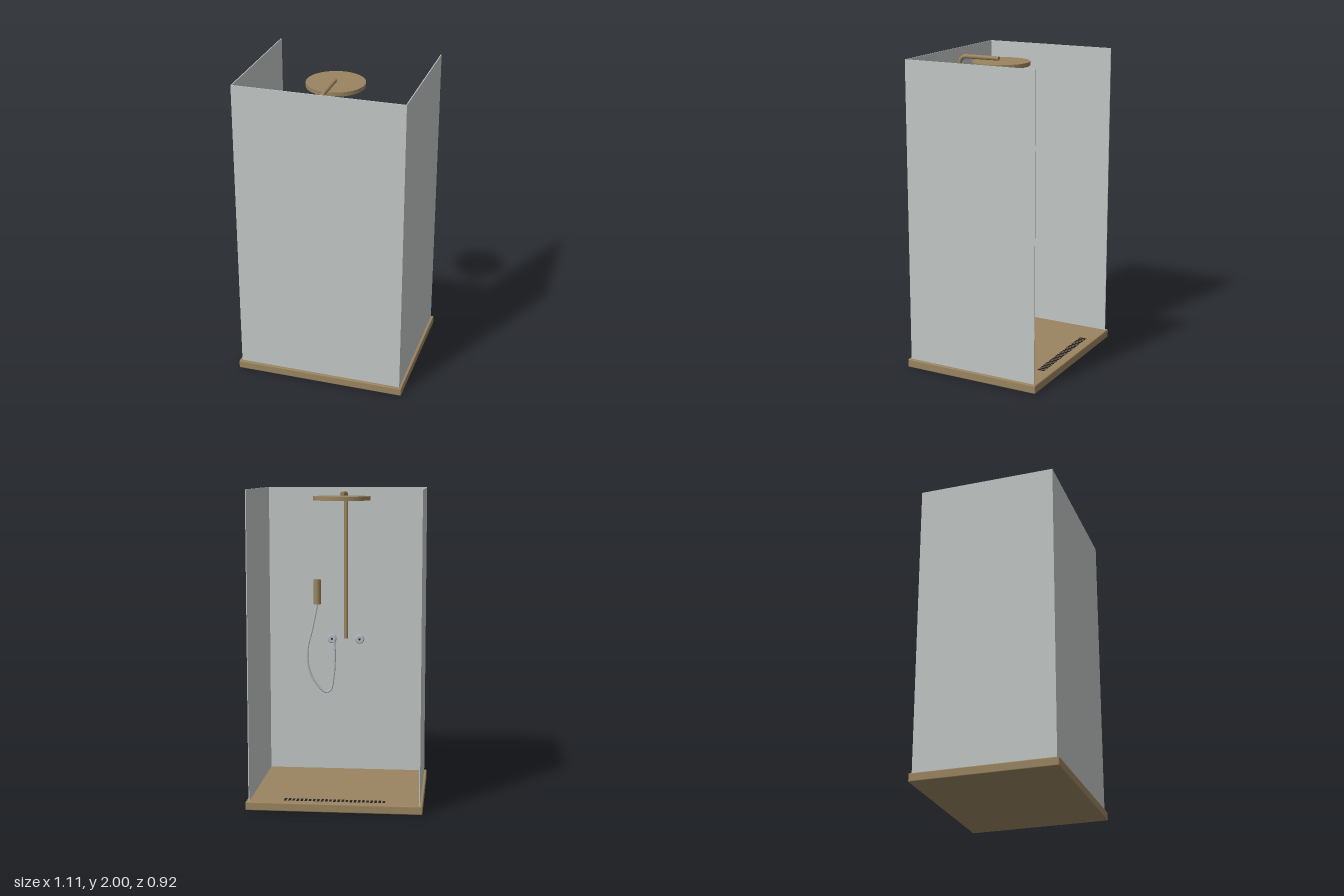
import * as THREE from 'three';
import { RoundedBoxGeometry } from 'three/addons/geometries/RoundedBoxGeometry.js';

const makeMaterial = (name, color) => {
  const m = new THREE.MeshStandardMaterial({ color });
  m.name = name;
  return m;
};

export function createModel() {
  const bronze = makeMaterial('brushed bronze', 0x9a8460);
  const glass = makeMaterial('frosted glass', 0xc1c6c4);
  const chrome = makeMaterial('chrome', 0xb4b9be);
  const dark = makeMaterial('dark openings', 0x222222);

  const model = new THREE.Group();
  model.name = 'showerCubicle';
  const add = (name, geometry, material, x = 0, y = 0, z = 0, parent = model) => {
    const mesh = new THREE.Mesh(geometry, material);
    mesh.name = name;
    mesh.position.set(x, y, z);
    parent.add(mesh);
    return mesh;
  };
  const addGroup = (name, x = 0, y = 0, z = 0) => {
    const g = new THREE.Group();
    g.name = name;
    g.position.set(x, y, z);
    model.add(g);
    return g;
  };

  // Tray with softened edges
  const trayTop = 0.055;
  add('tray', new RoundedBoxGeometry(1.11, trayTop, 0.924, 3, 0.007), bronze, 0, trayTop / 2, 0);

  // Drain: a row of dark slots near the open side
  const drain = addGroup('drain', 0, trayTop, -0.382);
  const slot = new THREE.BoxGeometry(0.015, 0.004, 0.047);
  for (let i = -12; i <= 12; i++) add('drainSlot', slot, dark, i * 0.0259, 0, 0, drain);

  // Three glass panels, open at the back
  const t = 0.006, panelHeight = 2 - trayTop, panelY = trayTop + panelHeight / 2;
  add('frontPanel', new THREE.BoxGeometry(1.076, panelHeight, t), glass, 0, panelY, 0.442);
  for (const side of [-1, 1]) {
    add(side > 0 ? 'leftPanel' : 'rightPanel', new THREE.BoxGeometry(t, panelHeight, 0.886),
      glass, side * 0.535, panelY, -0.004);
  }

  // Riser pipe bending over into the overhead arm
  const armY = 1.962, riserZ = 0.377, bend = 0.05;
  const pipe = new THREE.CurvePath();
  const p = (y, z) => new THREE.Vector3(0, y, z);
  pipe.add(new THREE.LineCurve3(p(0.98, riserZ), p(armY - bend, riserZ)));
  pipe.add(new THREE.CubicBezierCurve3(p(armY - bend, riserZ), p(armY - bend * 0.45, riserZ),
    p(armY, riserZ - bend * 0.45), p(armY, riserZ - bend)));
  pipe.add(new THREE.LineCurve3(p(armY, riserZ - bend), p(armY, 0.09)));
  add('riserAndArm', new THREE.TubeGeometry(pipe, 120, 0.0134, 16), bronze);
  const cap = new THREE.CircleGeometry(0.0134, 16);
  add('armCap', cap, bronze, 0, armY, 0.09).rotation.y = Math.PI;
  add('riserCap', cap, bronze, 0, 0.98, riserZ).rotation.x = Math.PI / 2;

  // Round overhead shower with rings of nozzles underneath
  const head = addGroup('overheadShower', 0, 1.935, 0.073);
  add('showerPlate', new THREE.CylinderGeometry(0.184, 0.184, 0.026, 64), bronze, 0, 0, 0, head);
  const nozzle = new THREE.CylinderGeometry(0.005, 0.005, 0.004, 8);
  add('nozzle', nozzle, dark, 0, -0.013, 0, head);
  for (let ring = 1; ring <= 4; ring++) {
    for (let i = 0; i < ring * 6; i++) {
      const a = (i / (ring * 6)) * Math.PI * 2, r = ring * 0.036;
      add('nozzle', nozzle, dark, r * Math.cos(a), -0.013, r * Math.sin(a), head);
    }
  }

  // Valve rosettes either side of the riser
  const disc = new THREE.LatheGeometry([[0, -0.009], [0.031, -0.009], [0.031, 0.003],
    [0.031, 0.003], [0.026, 0.009], [0.026, 0.009], [0, 0.009]].map(([x, y]) => new THREE.Vector2(x, y)), 32);
  for (const side of [-1, 1]) {
    const valve = addGroup(side > 0 ? 'hoseOutlet' : 'mixerValve', side * 0.094, 0.979, 0.356);
    valve.rotation.x = -Math.PI / 2;
    add('rosette', disc, chrome, 0, 0, 0, valve);
    add('rosetteCentre', new THREE.CylinderGeometry(0.007, 0.007, 0.01, 16), dark, 0, 0.009, 0, valve);
  }

  // Hand shower and its hanging hose
  add('handShower', new THREE.CylinderGeometry(0.024, 0.024, 0.168, 32), bronze, 0.194, 1.299, 0.35);
  const hosePath = new THREE.CatmullRomCurve3([
    [0.194, 1.22, 0.35], [0.222, 1.07, 0.34], [0.26, 0.894, 0.333], [0.245, 0.756, 0.335],
    [0.195, 0.665, 0.34], [0.14, 0.613, 0.346], [0.105, 0.625, 0.351], [0.083, 0.724, 0.355],
    [0.075, 0.86, 0.355], [0.078, 0.965, 0.352],
  ].map((v) => new THREE.Vector3(...v)));
  add('hose', new THREE.TubeGeometry(hosePath, 96, 0.007, 10), chrome);

  return model;
}
